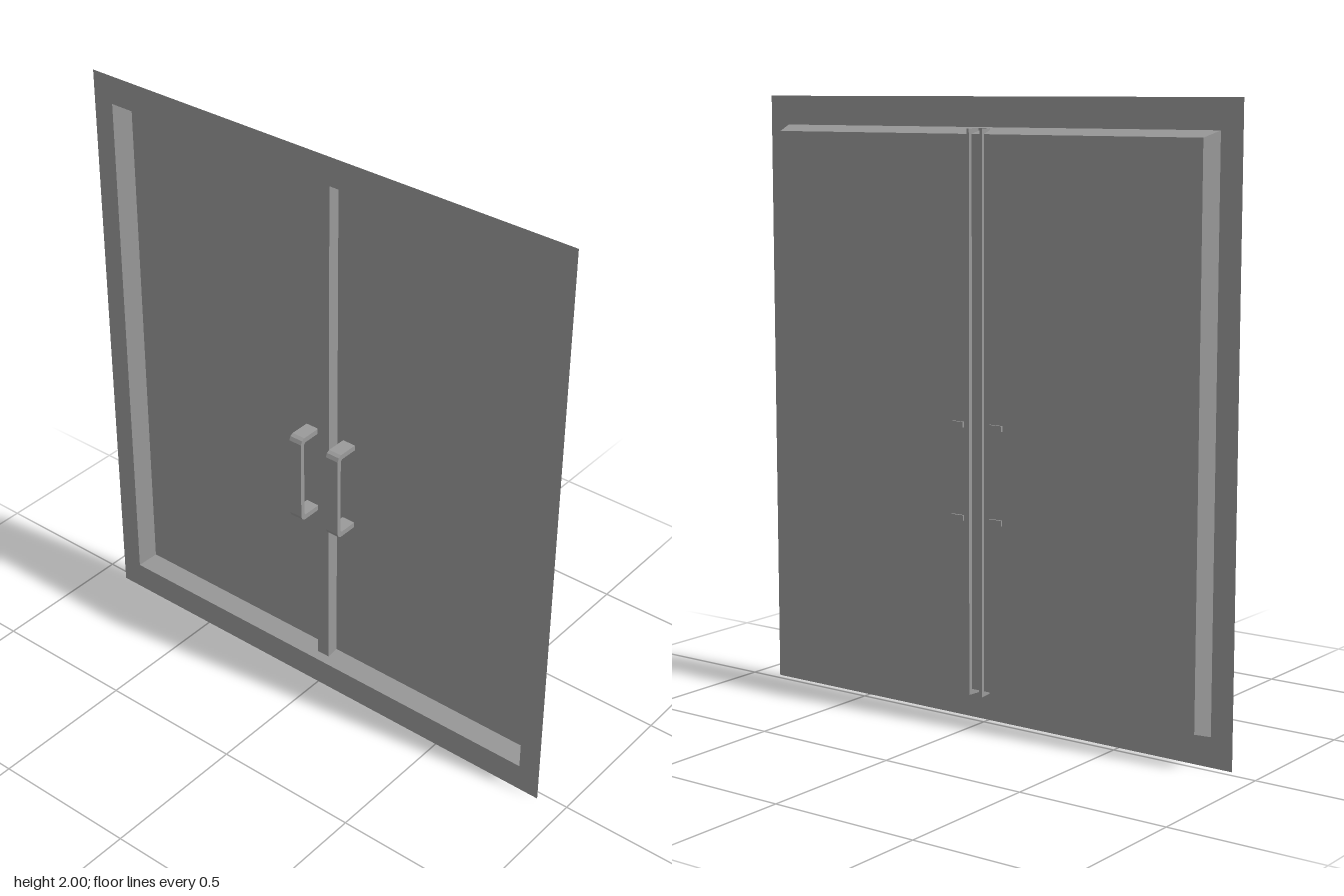
import * as THREE from 'three';

const FRONT = 0.027, BACK = -0.037; // planes of the frame face and the door leaves

export function createModel() {
  const group = new THREE.Group();
  const material = new THREE.MeshStandardMaterial({
    color: 0x9a9a9a, side: THREE.DoubleSide, flatShading: true,
  });
  const add = (name, geometry) => {
    const mesh = new THREE.Mesh(geometry, material);
    mesh.name = name;
    group.add(mesh);
    return mesh;
  };
  const polygon = (pts) => new THREE.Shape(pts.map(([x, y]) => new THREE.Vector2(x, y)));
  const rect = (w, y0, y1) => [[-w, y0], [w, y0], [w, y1], [-w, y1]];

  // Flat surround with the door opening cut out
  const opening = rect(0.83, 0.095, 1.905);
  const inner = rect(0.81, 0.115, 1.885);
  const face = polygon(rect(0.905, 0, 2));
  face.holes.push(polygon(opening));
  add('frameFace', new THREE.ShapeGeometry(face).translate(0, 0, FRONT));

  // Sloping reveal from the opening back to the leaves
  const reveal = [];
  for (let i = 0; i < 4; i++) {
    const j = (i + 1) % 4;
    const a = [...opening[i], FRONT], b = [...opening[j], FRONT];
    const c = [...inner[j], BACK], d = [...inner[i], BACK];
    reveal.push(...a, ...b, ...c, ...a, ...c, ...d);
  }
  const revealGeometry = new THREE.BufferGeometry();
  revealGeometry.setAttribute('position', new THREE.Float32BufferAttribute(reveal, 3));
  revealGeometry.computeVertexNormals();
  add('frameReveal', revealGeometry);

  // Centre post: a slightly tapered channel, open at the back
  const channel = polygon([
    [-0.029, 0.05], [-0.023, 0], [0.023, 0], [0.029, 0.05],
    [0.021, 0.05], [0.016, 0.006], [-0.016, 0.006], [-0.021, 0.05],
  ]);
  const post = new THREE.ExtrudeGeometry(channel, { depth: 1.805, bevelEnabled: false });
  add('centrePost', post.rotateX(-Math.PI / 2).translate(0, 0.0975, 0));

  // Pull handle side profile (z, y) with chamfered corners, legs passing through the leaf
  const handleProfile = polygon([
    [-0.044, 0.663], [0.033, 0.663], [0.044, 0.669], [0.05, 0.682],
    [0.05, 0.963], [0.044, 0.976], [0.033, 0.982], [-0.044, 0.982],
    [-0.044, 0.964], [0.028, 0.964], [0.034, 0.957],
    [0.034, 0.688], [0.028, 0.681], [-0.044, 0.681],
  ]);
  const handle = new THREE.ExtrudeGeometry(handleProfile, { depth: 0.048, bevelEnabled: false });
  handle.rotateY(-Math.PI / 2).translate(0.024, 0, 0);

  // A leaf and a handle on each side
  for (const [side, s] of [['left', 1], ['right', -1]]) {
    add(side + 'Door', new THREE.PlaneGeometry(0.81, 1.77)).position.set(s * 0.405, 1, BACK);
    add(side + 'Handle', handle).position.x = s * 0.075;
  }
  return group;
}
